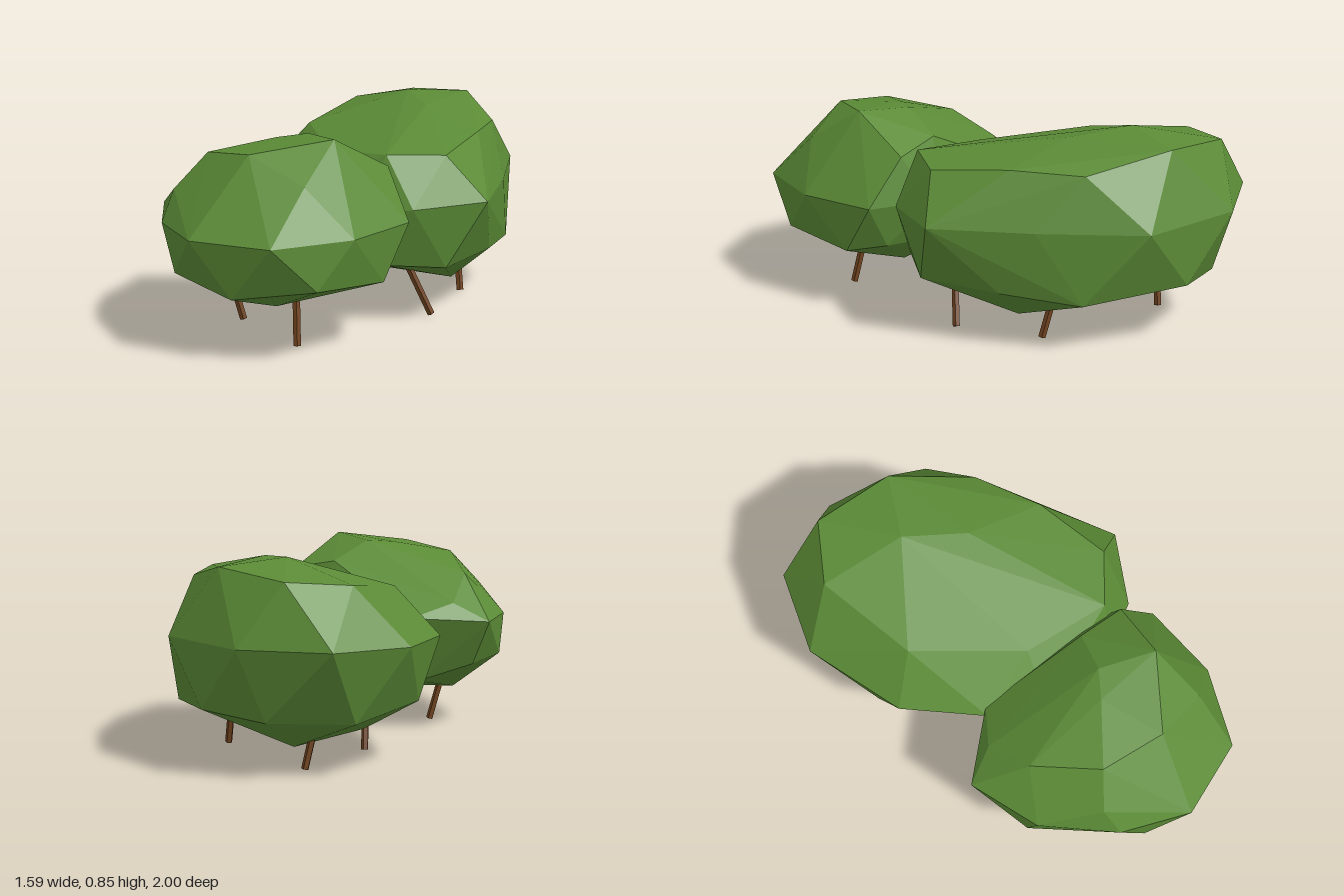
import * as THREE from 'three';
import { ConvexGeometry } from 'three/addons/geometries/ConvexGeometry.js';

const leaf = new THREE.MeshStandardMaterial({ color: 0x5b8b36, flatShading: true });
const bark = new THREE.MeshStandardMaterial({ color: 0x70431f, flatShading: true });

// Faceted foliage mass wrapped around a few rings of points [x, y, z]
function foliage(name, rings) {
  const points = rings.flat().map(p => new THREE.Vector3(...p));
  const mesh = new THREE.Mesh(new ConvexGeometry(points), leaf);
  mesh.name = name;
  return mesh;
}

// Thin leaning stem from the ground up into the foliage
function stem(name, [x0, z0], [x1, z1]) {
  const a = new THREE.Vector3(x0, 0, z0);
  const b = new THREE.Vector3(x1, 0.28, z1);
  const dir = b.clone().sub(a);
  const mesh = new THREE.Mesh(new THREE.CylinderGeometry(0.016, 0.016, dir.length(), 5), bark);
  mesh.position.copy(a).add(b).multiplyScalar(0.5);
  mesh.quaternion.setFromUnitVectors(new THREE.Vector3(0, 1, 0), dir.normalize());
  mesh.name = name;
  return mesh;
}

export function createModel() {
  const group = new THREE.Group();
  group.name = 'bush';

  // Smaller front mass: underside, lower ring, middle ring, crown
  group.add(foliage('frontFoliage', [
    [[-0.57, 0.16, 0.23], [-0.34, 0.14, 0.42], [-0.1, 0.16, 0.45], [-0.35, 0.2, 0.75], [-0.48, 0.17, 0.55]],
    [[-0.75, 0.32, 0.66], [-0.53, 0.27, 0.88], [-0.2, 0.31, 0.94], [0.08, 0.28, 0.72], [0.13, 0.31, 0.55],
      [0, 0.3, 0.22], [-0.36, 0.22, 0.05], [-0.6, 0.3, 0], [-0.77, 0.32, 0.16]],
    [[-0.8, 0.5, 0.55], [-0.69, 0.5, 0.84], [-0.38, 0.5, 1], [-0.05, 0.5, 0.88], [0.19, 0.5, 0.63],
      [0.13, 0.5, 0.35], [-0.07, 0.5, 0.15], [-0.3, 0.52, -0.06], [-0.65, 0.5, -0.09], [-0.8, 0.5, 0.2]],
    [[-0.75, 0.62, 0.47], [-0.61, 0.765, 0.45], [-0.45, 0.8, 0.68], [-0.24, 0.7, 0.83], [-0.11, 0.845, 0.63],
      [0.12, 0.7, 0.48], [-0.33, 0.815, 0.42], [-0.2, 0.825, 0.4], [-0.03, 0.74, 0.32], [-0.6, 0.69, 0.15],
      [-0.41, 0.67, 0.18], [-0.5, 0.58, -0.03]],
  ]));

  // Larger back mass, built the same way
  group.add(foliage('backFoliage', [
    [[0.45, 0.09, 0.04], [0.14, 0.075, -0.3], [-0.1, 0.15, -0.1], [0.3, 0.08, -0.56], [0, 0.13, -0.5]],
    [[0.37, 0.25, 0.44], [0.1, 0.27, 0.45], [-0.15, 0.28, 0.28], [-0.25, 0.26, -0.2], [-0.22, 0.25, -0.55],
      [0.1, 0.22, -0.84], [0.45, 0.23, -0.8], [0.68, 0.26, -0.62], [0.73, 0.22, -0.17], [0.6, 0.25, 0.15]],
    [[0.22, 0.53, -1], [0.57, 0.53, -0.84], [0.79, 0.53, -0.43], [0.68, 0.53, 0.02], [0.54, 0.53, 0.44],
      [0.22, 0.52, 0.52], [0, 0.5, 0.45], [-0.25, 0.5, 0.2], [-0.34, 0.5, -0.05], [-0.34, 0.5, -0.43],
      [-0.12, 0.52, -0.84]],
    [[0.66, 0.75, -0.19], [0.6, 0.82, -0.56], [0.38, 0.785, -0.84], [0.31, 0.845, -0.47], [0.1, 0.76, -0.78],
      [0.55, 0.76, 0.1], [0.37, 0.72, 0.39], [0.12, 0.73, 0.41], [0.36, 0.825, -0.19], [0.08, 0.74, -0.1],
      [-0.1, 0.69, 0.1], [-0.15, 0.71, -0.4]],
  ]));

  // Three stems under each mass: [foot x, z], [top x, z]
  [
    [[-0.265, 0.66], [-0.265, 0.59]],
    [[-0.475, 0.285], [-0.55, 0.27]],
    [[0.33, 0.285], [0.2, 0.27]],
  ].forEach(([foot, top]) => group.add(stem('frontStem', foot, top)));
  [
    [[-0.045, -0.31], [-0.06, -0.25]],
    [[0.265, -0.62], [0.2, -0.62]],
    [[0.505, -0.05], [0.49, -0.13]],
  ].forEach(([foot, top]) => group.add(stem('backStem', foot, top)));

  return group;
}
